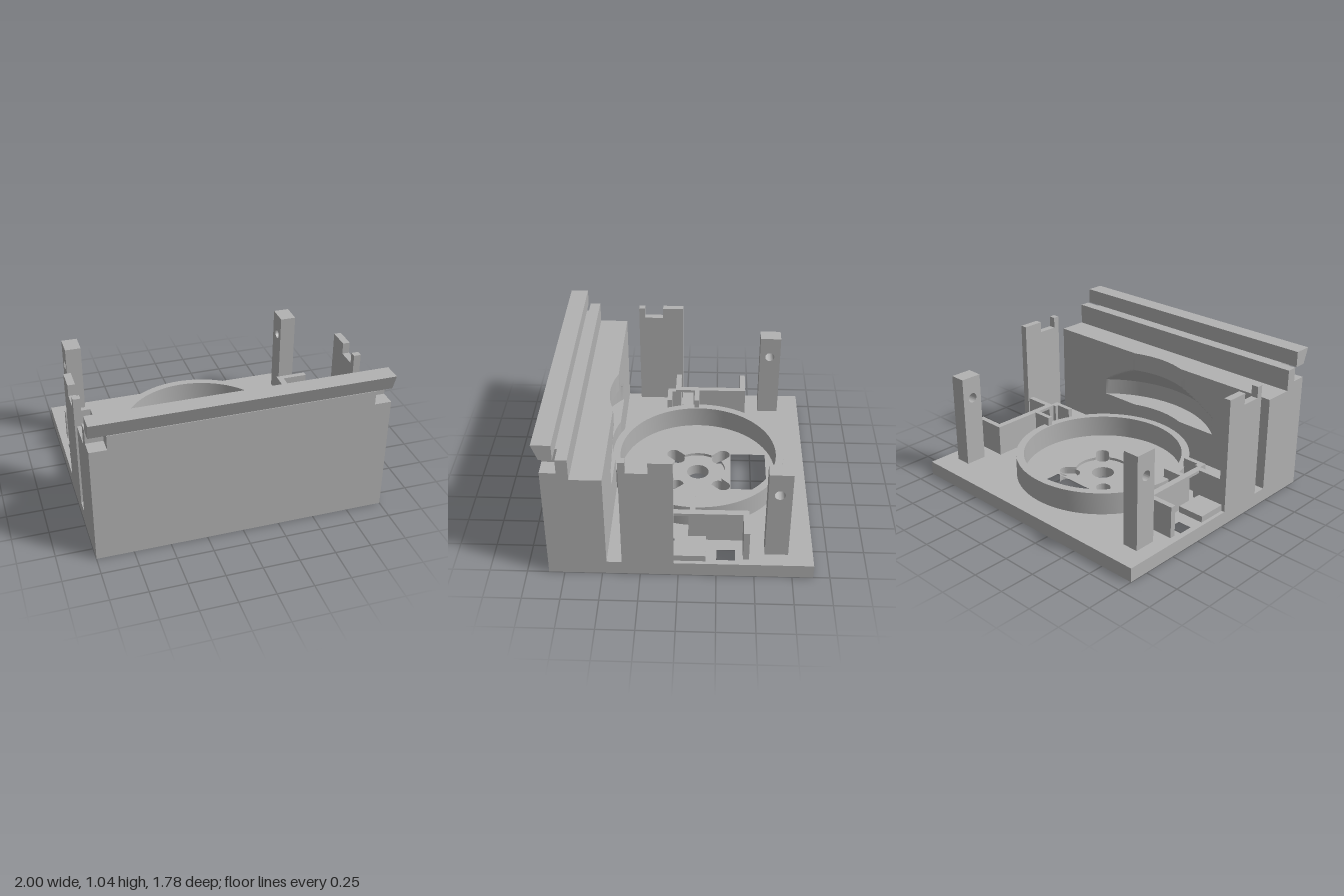
import * as THREE from 'three';
import { toCreasedNormals } from 'three/addons/utils/BufferGeometryUtils.js';

const grey = new THREE.MeshStandardMaterial({ color: 0xb2b2b2 });
grey.name = 'plain grey';
const CZ = -0.11; // centre of the round seat

export function createModel() {
  const model = new THREE.Group();
  model.name = 'deviceHousing';

  const add = (name, geo) => {
    const mesh = new THREE.Mesh(geo, grey);
    mesh.name = name;
    model.add(mesh);
    return mesh;
  };
  // box given by its limits on each axis
  const box = (name, x0, x1, y0, y1, z0, z1) => {
    const geo = new THREE.BoxGeometry(x1 - x0, y1 - y0, z1 - z0);
    return add(name, geo.translate((x0 + x1) / 2, (y0 + y1) / 2, (z0 + z1) / 2));
  };
  const pair = (name, x0, x1, ...rest) => {
    box(name + 'Left', x0, x1, ...rest);
    box(name + 'Right', -x1, -x0, ...rest);
  };
  const path = (pts) => new THREE.Path(pts.map(([x, y]) => new THREE.Vector2(x, y)));
  const rect = (x0, x1, z0, z1) => path([[x0, -z0], [x1, -z0], [x1, -z1], [x0, -z1]]);
  const circle = (x, y, r) => new THREE.Path().absarc(x, y, r, 0, Math.PI * 2);
  // plan outline in x / -z, raised from y0 to y1
  const slab = (name, outline, holes, y0, y1) => {
    const shape = new THREE.Shape(outline.getPoints(48));
    shape.holes.push(...holes);
    const geo = new THREE.ExtrudeGeometry(shape, { depth: y1 - y0, bevelEnabled: false, curveSegments: 48 });
    return add(name, toCreasedNormals(geo.rotateX(-Math.PI / 2).translate(0, y0, 0), 0.5));
  };
  // side outline in z / y, pushed along x from x0 to x1
  const sidePlate = (name, pts, holes, x0, x1) => {
    const shape = new THREE.Shape(pts.map(([z, y]) => new THREE.Vector2(-z, y)));
    shape.holes.push(...holes);
    const geo = new THREE.ExtrudeGeometry(shape, { depth: x1 - x0, bevelEnabled: false, curveSegments: 24 });
    return add(name, toCreasedNormals(geo.rotateY(Math.PI / 2).translate(x0, 0, 0), 0.5));
  };
  const sidePair = (name, pts, holes, x0, x1) => {
    sidePlate(name + 'Left', pts, holes, x0, x1);
    sidePlate(name + 'Right', pts, holes, -x1, -x0);
  };

  // base plate: a lower layer with screw slots, an upper layer with a round recess
  const openings = () => [
    rect(-0.22, 0.22, -0.61, -0.35),
    ...[-1, 1].flatMap((s) => [
      rect(s * 0.9 - 0.06, s * 0.9 + 0.06, -0.375, -0.25),
      rect(s * 0.76 - 0.02, s * 0.76 + 0.02, -0.05, 0.04),
    ]),
  ];
  const slots = [1, 3, 5, 7].map((k) => {
    const a = (k * Math.PI) / 4;
    const p = new THREE.Path();
    p.absarc(Math.cos(a) * 0.262, -CZ + Math.sin(a) * 0.262, 0.05, a - Math.PI / 2, a + Math.PI / 2);
    p.absarc(Math.cos(a) * 0.215, -CZ + Math.sin(a) * 0.215, 0.05, a + Math.PI / 2, a + Math.PI * 1.5);
    return p;
  });
  const recess = [];
  for (let i = 0; i < 240; i++) {
    const a = (i / 240) * Math.PI * 2;
    const d = Math.abs((a % (Math.PI / 2)) - Math.PI / 4); // angle from the nearest slot
    const r = d < 0.19
      ? 0.262 * Math.cos(d) + Math.sqrt(0.0025 - (0.262 * Math.sin(d)) ** 2)
      : Math.max(0.2, 0.05 / Math.sin(d));
    recess.push([Math.cos(a) * r, -CZ + Math.sin(a) * r]);
  }
  const plan = rect(-1, 1, -0.89, 0.855);
  slab('baseLower', plan, [...openings(), ...slots, circle(0, -CZ, 0.08)], 0, 0.08);
  slab('baseUpper', plan, [...openings(), path(recess)], 0.08, 0.1);

  // round seat
  slab('seatRing', new THREE.Path().absarc(0, -CZ, 0.62, 0, Math.PI * 2), [circle(0, -CZ, 0.565)], 0.1, 0.26);

  // front wall with a low ledge behind and notched top corners
  box('frontWall', -0.885, 0.885, 0.1, 0.93, 0.675, 0.855);
  sidePair('frontWallEnd', [[0.675, 0.1], [0.855, 0.1], [0.855, 0.83], [0.75, 0.83], [0.75, 0.93], [0.675, 0.93]], [], 0.885, 1);
  pair('ledgeEnd', 0.8, 1, 0.1, 0.78, 0.47, 0.675);

  // inner face of the ledge, hollowed by a round pocket with a sloping roof
  const rows = [[0.1, 0.62], [0.36, 0.62], [0.36, 0.785]];
  for (let i = 0; i <= 12; i++) rows.push([0.48 + (0.165 * i) / 12, 0.785 - (0.165 * i) / 12]);
  rows.push([0.78, 0.62], [0.78, null]);
  const cols = 160, pos = [], index = [];
  rows.forEach(([y, r], j) => {
    for (let i = 0; i <= cols; i++) {
      const x = -0.8 + (1.6 * i) / cols;
      const z = r === null ? 0.675 : Math.max(0.47, CZ + Math.sqrt(Math.max(0, r * r - x * x)));
      pos.push(x, y, z);
      if (j && i) {
        const d = j * (cols + 1) + i, c = d - 1, b = d - cols - 1, a = b - 1;
        index.push(a, c, b, b, c, d);
      }
    }
  });
  const skin = new THREE.BufferGeometry();
  skin.setAttribute('position', new THREE.Float32BufferAttribute(pos, 3));
  skin.setIndex(index);
  add('ledgePocket', toCreasedNormals(skin, 0.5));

  // lip along the top of the front wall
  sidePlate('topLip', [[0.765, 0.93], [0.85, 0.93], [0.89, 1.04], [0.765, 1.04]], [], -1, 1);
  const rod = new THREE.CylinderGeometry(0.035, 0.035, 1.774, 24).rotateZ(Math.PI / 2);
  add('lipRod', rod.translate(0, 0.94, 0.805));

  // notched side uprights
  sidePair('sideUpright', [[0.03, 0.1], [0.37, 0.1], [0.37, 0.92], [0.325, 0.92], [0.325, 0.84],
    [0.185, 0.84], [0.185, 0.92], [0.03, 0.92]], [], 0.95, 1);

  // rear posts with a cross hole
  sidePair('rearPost', [[-0.725, 0.1], [-0.57, 0.1], [-0.57, 0.765], [-0.725, 0.765]],
    [circle(0.645, 0.605, 0.035)], 0.78, 0.895);

  // side brackets: rear wall, long wall with an opening, front wall
  pair('bracketRear', 0.72, 0.95, 0.1, 0.325, -0.465, -0.425);
  sidePair('bracketWall', [[-0.425, 0.1], [-0.06, 0.1], [-0.06, 0.305], [0.04, 0.305], [0.04, 0.325], [-0.425, 0.325]],
    [], 0.72, 0.765);
  pair('bracketFront', 0.72, 0.95, 0.1, 0.325, 0.04, 0.08);
  pair('bracketStep', 0.78, 0.975, 0.1, 0.145, -0.18, 0.03);

  // short guides joining the brackets to the ring
  pair('guideRear', 0.575, 0.72, 0.1, 0.325, -0.105, -0.07);
  pair('guideFront', 0.575, 0.74, 0.1, 0.325, 0.105, 0.14);
  pair('guideLink', 0.695, 0.74, 0.1, 0.325, 0.08, 0.105);
  return model;
}
